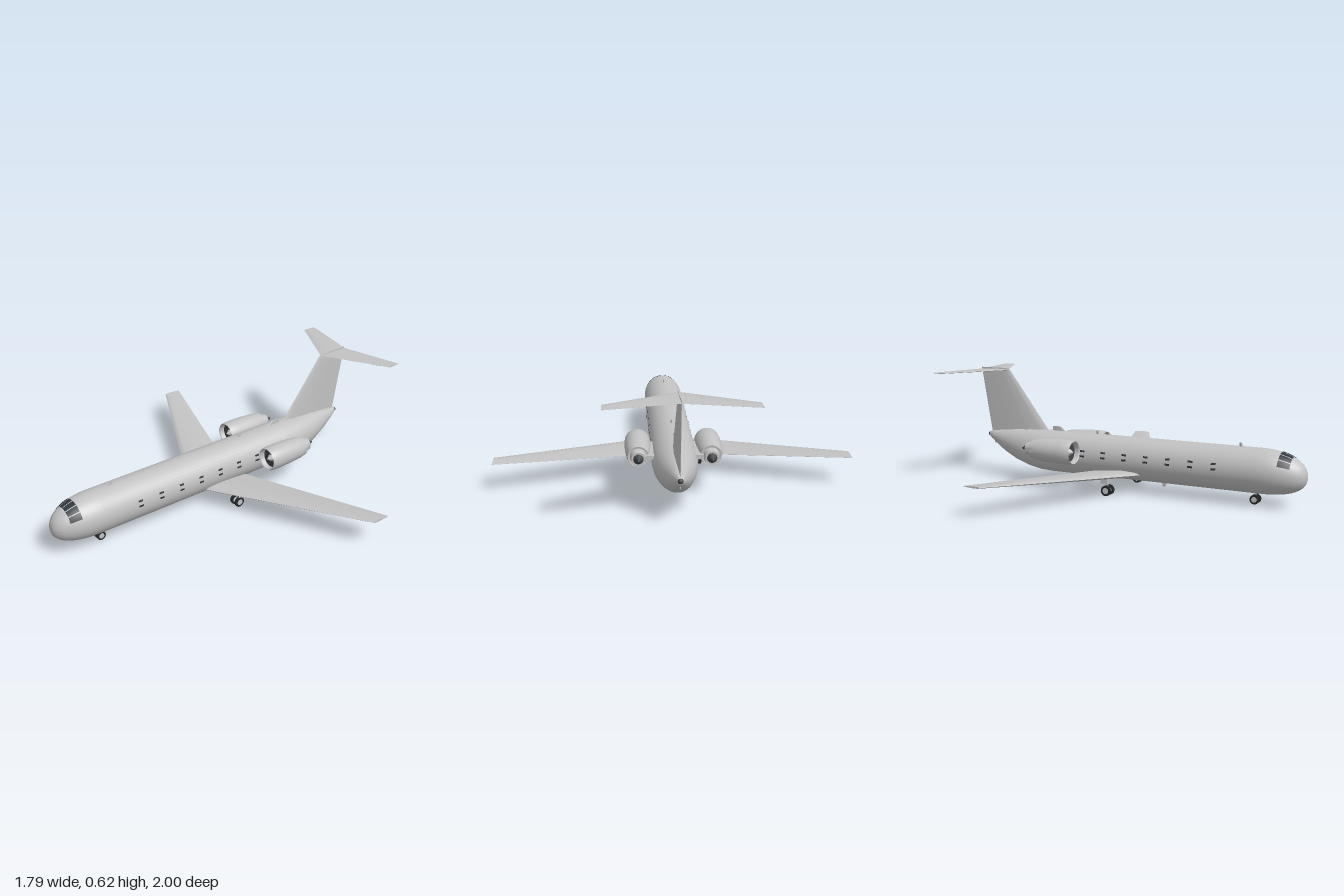
import * as THREE from 'three';
import { toCreasedNormals } from 'three/addons/utils/BufferGeometryUtils.js';

const mat = (name, color, side = THREE.FrontSide) => {
  const m = new THREE.MeshStandardMaterial({ color, side });
  m.name = name;
  return m;
};

// Closed skin through equal-sized loops of [x, y, z] points, capped at both ends
function loft(rings, crease) {
  const n = rings[0].length, pos = rings.flat(2), idx = [];
  for (let i = 0; i < rings.length - 1; i++) {
    for (let j = 0; j < n; j++) {
      const a = i * n + j, b = i * n + (j + 1) % n;
      idx.push(a, b, b + n, a, b + n, a + n);
    }
  }
  const last = (rings.length - 1) * n;
  for (let j = 1; j < n - 1; j++) {
    idx.push(0, j + 1, j, last, last + j, last + j + 1);
  }
  // Turn the faces outward if the enclosed volume is negative
  const p = i => new THREE.Vector3(...pos.slice(i * 3, i * 3 + 3));
  let volume = 0;
  for (let i = 0; i < idx.length; i += 3) volume += p(idx[i]).dot(p(idx[i + 1]).cross(p(idx[i + 2])));
  if (volume < 0) idx.reverse();
  const g = new THREE.BufferGeometry();
  g.setAttribute('position', new THREE.Float32BufferAttribute(pos, 3));
  g.setIndex(idx);
  return toCreasedNormals(g, crease);
}

// Airfoil outline: chord fraction, half thickness fraction
const UPPER = [[0, 0], [0.03, 0.4], [0.12, 0.8], [0.35, 1], [0.7, 0.55], [1, 0.05]];
const FOIL = [...UPPER, ...UPPER.slice(1).reverse().map(([c, t]) => [c, -t])];

// Stations are [span, offset, leading z, trailing z, thickness]
const flatSurface = st => loft(st.map(([x, y, le, te, th]) =>
  FOIL.map(([c, t]) => [x, y + t * th / 2, le + (te - le) * c])), 0.7);
const uprightSurface = st => loft(st.map(([y, x, le, te, th]) =>
  FOIL.map(([c, t]) => [x + t * th / 2, y, le + (te - le) * c])), 0.7);

// Fuselage stations: z, bottom, top, half width
const NOSE_Z = 0.76;
const BODY = [
  [-0.865, 0.222, 0.248, 0.011], [-0.85, 0.208, 0.252, 0.019], [-0.82, 0.189, 0.257, 0.031],
  [-0.75, 0.142, 0.267, 0.053], [-0.66, 0.099, 0.276, 0.08], [-0.58, 0.074, 0.282, 0.097],
  [-0.5, 0.06, 0.284, 0.108], [-0.42, 0.056, 0.284, 0.112], [NOSE_Z, 0.056, 0.284, 0.112],
];
function section(z) {
  if (z > NOSE_Z) {
    const s = Math.min((z - NOSE_Z) / 0.24, 1);
    const k = p => Math.max(Math.pow(1 - Math.pow(s, p), 1 / p), 0.004);
    return { cy: 0.17 - 0.013 * s * s, rx: 0.112 * k(2.1), ry: 0.114 * k(2.3) };
  }
  let i = 0;
  while (i < BODY.length - 2 && z > BODY[i + 1][0]) i++;
  const t = (z - BODY[i][0]) / (BODY[i + 1][0] - BODY[i][0]);
  const [, bottom, top, rx] = BODY[i].map((v, k) => THREE.MathUtils.lerp(v, BODY[i + 1][k], t));
  return { cy: (bottom + top) / 2, rx, ry: (top - bottom) / 2 };
}
// Point on the fuselage skin; angle in radians from straight up towards +x
function skin(z, a, lift = 0) {
  const { cy, rx, ry } = section(z);
  return [(rx + lift) * Math.sin(a), cy + (ry + lift) * Math.cos(a), z];
}
// Pane lying just above the skin
function skinPatch(z0, z1, deg0, deg1) {
  const g = new THREE.PlaneGeometry(1, 1, 5, 5), p = g.attributes.position;
  for (let i = 0; i < p.count; i++) {
    const a = THREE.MathUtils.degToRad(THREE.MathUtils.lerp(deg1, deg0, p.getX(i) + 0.5));
    p.setXYZ(i, ...skin(THREE.MathUtils.lerp(z1, z0, p.getY(i) + 0.5), a, 0.002));
  }
  g.computeVertexNormals();
  return g;
}

export function createModel() {
  const model = new THREE.Group();
  model.name = 'airliner';
  const grey = mat('bodyGrey', 0xc2c2c2);
  const glass = mat('windowDark', 0x30373d, THREE.DoubleSide);
  const dark = mat('engineDark', 0x43474b);
  const tyre = mat('tyreBlack', 0x26292b);
  const add = (name, geo, material, x = 0, y = 0, z = 0, parent = model) => {
    const m = new THREE.Mesh(geo, material);
    m.name = name;
    m.position.set(x, y, z);
    parent.add(m);
    return m;
  };

  // Fuselage with rounded nose and upswept tail
  const zs = BODY.map(b => b[0]);
  for (let i = 1; i <= 14; i++) zs.push(NOSE_Z + 0.24 * Math.sin(i / 14 * Math.PI / 2));
  add('fuselage', loft(zs.map(z => Array.from({ length: 40 }, (_, j) => skin(z, j / 40 * Math.PI * 2))), 0.9), grey);
  add('tailCap', new THREE.SphereGeometry(0.013, 12, 8), dark, 0, 0.235, -0.863);

  // Wings, tail fin and tailplane
  const wingTip = s => [s * 0.895, 0.153, -0.28, -0.38, 0.01];
  const wingRoot = s => [s * 0.11, 0.103, 0.13, -0.13, 0.032];
  add('wings', flatSurface([wingTip(-1), wingRoot(-1), [0, 0.098, 0.187, -0.095, 0.036], wingRoot(1), wingTip(1)]), grey);
  add('tailFin', uprightSurface([[0.22, 0, -0.42, -0.845, 0.036], [0.617, 0, -0.73, -0.915, 0.012]]), grey);
  add('tailplane', flatSurface([[-0.339, 0.606, -0.92, -1, 0.006], [0, 0.606, -0.734, -0.92, 0.01],
    [0.339, 0.606, -0.92, -1, 0.006]]), grey);

  // Cockpit panes
  for (const s of [-1, 1]) {
    for (const [a, b] of [[1.5, 19], [22, 41], [44, 63]]) {
      add('cockpitWindow', skinPatch(0.872, 0.93, s * a, s * b), glass);
    }
    // Cabin window strips in pairs
    for (let i = 0; i < 7; i++) {
      const z = 0.555 - i * 0.1245;
      for (const a of [70.5, 84]) add('cabinWindow', skinPatch(z - 0.013, z + 0.013, s * a, s * (a + 5)), glass);
    }
  }

  // Rear engines
  const nacelle = toCreasedNormals(new THREE.LatheGeometry([
    [0.02, -0.49], [0.034, -0.49], [0.041, -0.45], [0.051, -0.452], [0.059, -0.41], [0.064, -0.34],
    [0.066, -0.26], [0.064, -0.21], [0.06, -0.2], [0.055, -0.204], [0.053, -0.235],
  ].map(([r, z]) => new THREE.Vector2(r, z)), 32).rotateX(Math.PI / 2), 0.6);
  for (const s of [-1, 1]) {
    const engine = new THREE.Group();
    engine.name = s > 0 ? 'leftEngine' : 'rightEngine';
    engine.position.set(s * 0.178, 0.206, 0);
    model.add(engine);
    add('nacelle', nacelle, grey, 0, 0, 0, engine);
    add('fan', new THREE.CircleGeometry(0.054, 32), dark, 0, 0, -0.23, engine);
    add('spinner', new THREE.ConeGeometry(0.019, 0.025, 20).rotateX(Math.PI / 2), grey, 0, 0, -0.217, engine);
    add('exhaustCone', new THREE.ConeGeometry(0.027, 0.045, 20).rotateX(-Math.PI / 2), dark, 0, 0, -0.509, engine);
    add('pylon', new THREE.BoxGeometry(0.06, 0.02, 0.22), grey, s * -0.068, 0, -0.36, engine);
  }

  // Wheels in pairs with hubs, axle and strut
  const gear = (name, x, z, r, gap, top) => {
    const g = new THREE.Group();
    g.name = name;
    g.position.set(x, r, z);
    model.add(g);
    const disc = (rad, w) => new THREE.CylinderGeometry(rad, rad, w, 24).rotateZ(Math.PI / 2);
    for (const s of [-1, 1]) {
      add('tyre', disc(r, 0.014), tyre, s * gap, 0, 0, g);
      add('hub', disc(r * 0.6, 0.017), grey, s * gap, 0, 0, g);
    }
    add('axle', disc(0.005, gap * 2), dark, 0, 0, 0, g);
    add('strut', new THREE.CylinderGeometry(0.005, 0.005, top - r, 10), grey, 0, (top - r) / 2, 0, g);
  };
  gear('noseGear', 0, 0.74, 0.024, 0.014, 0.07);
  for (const s of [-1, 1]) {
    gear(s > 0 ? 'leftMainGear' : 'rightMainGear', s * 0.18, 0, 0.027, 0.018, 0.105);
    add('gearDoor', new THREE.BoxGeometry(0.004, 0.035, 0.04), grey, s * 0.22, 0.086, 0);
  }

  // Small blade antennas: root y, tip y, front z, chord
  for (const [y0, y1, z, chord] of [[0.275, 0.303, 0.675, 0.025], [0.275, 0.303, -0.14, 0.025],
    [0.275, 0.308, -0.345, 0.095], [0.065, 0.035, 0.26, 0.03], [0.205, 0.183, -0.81, 0.025]]) {
    add('antenna', uprightSurface([[y0, 0, z, z - chord, 0.008], [y1, 0, z - chord * 0.45, z - chord, 0.006]]), grey);
  }
  return model;
}
